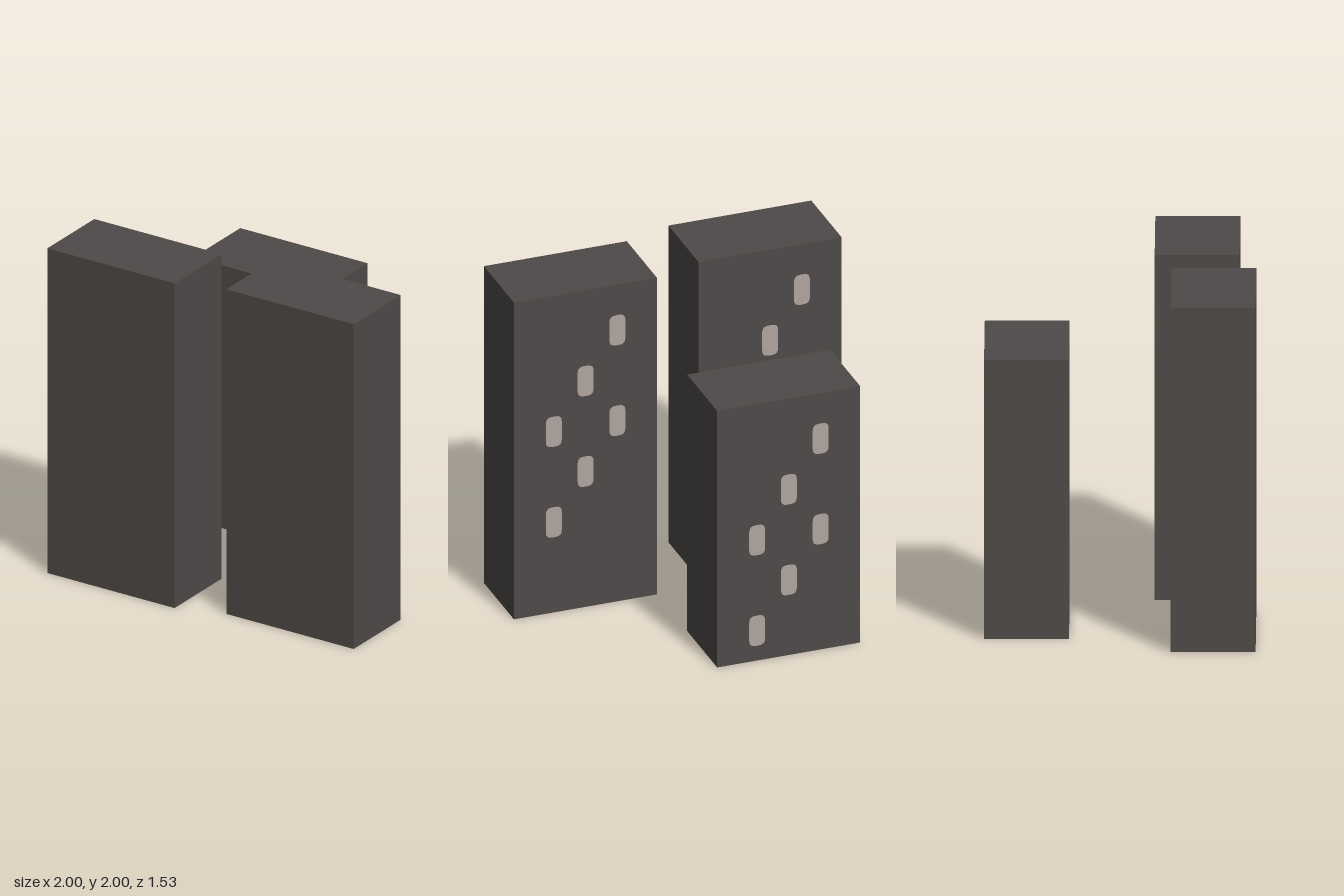
import * as THREE from 'three';

// base module: the tall blocks are 10.5 units high
const U = 2 / 10.5;
const WIDTH = 4.5 * U;
const DEPTH = 2.5 * U;

// upright rounded rectangle centred on the origin
function roundedRect(w, h, r) {
  const x = w / 2, y = h / 2;
  const s = new THREE.Shape();
  s.moveTo(-x + r, -y);
  s.lineTo(x - r, -y);
  s.quadraticCurveTo(x, -y, x, -y + r);
  s.lineTo(x, y - r);
  s.quadraticCurveTo(x, y, x - r, y);
  s.lineTo(-x + r, y);
  s.quadraticCurveTo(-x, y, -x, y - r);
  s.lineTo(-x, -y + r);
  s.quadraticCurveTo(-x, -y, -x + r, -y);
  return s;
}

export function createModel() {
  const stone = new THREE.MeshStandardMaterial({ color: 0x4e4a48 });
  stone.name = 'dark stone';
  const pale = new THREE.MeshStandardMaterial({ color: 0xb0a5a1 });
  pale.name = 'pale grey';

  // thin window panel facing the back
  const windowGeo = new THREE.ShapeGeometry(roundedRect(0.5 * U, U, 0.19 * U), 4).rotateY(Math.PI);

  // one block with two diagonal rows of windows on its back
  function block(name, x, z, height) {
    const g = new THREE.Group();
    g.name = name;
    const body = new THREE.Mesh(new THREE.BoxGeometry(WIDTH, height, DEPTH), stone);
    body.name = 'body';
    body.position.y = height / 2;
    g.add(body);
    for (let row = 0; row < 2; row++) {
      for (let col = -1; col <= 1; col++) {
        const w = new THREE.Mesh(windowGeo, pale);
        w.name = 'window';
        w.position.set(col * U, height - (3 + 1.5 * col + 3 * row) * U, -DEPTH / 2 - 0.003);
        g.add(w);
      }
    }
    g.position.set(x, 0, z);
    return g;
  }

  const model = new THREE.Group();
  model.name = 'blocks';
  model.add(
    block('leftBlock', 3 * U, 2.25 * U, 10.5 * U),
    block('rightBlock', -3 * U, 2.75 * U, 10.5 * U),
    block('backBlock', -1.5 * U, -2.75 * U, 8.5 * U)
  );
  return model;
}
